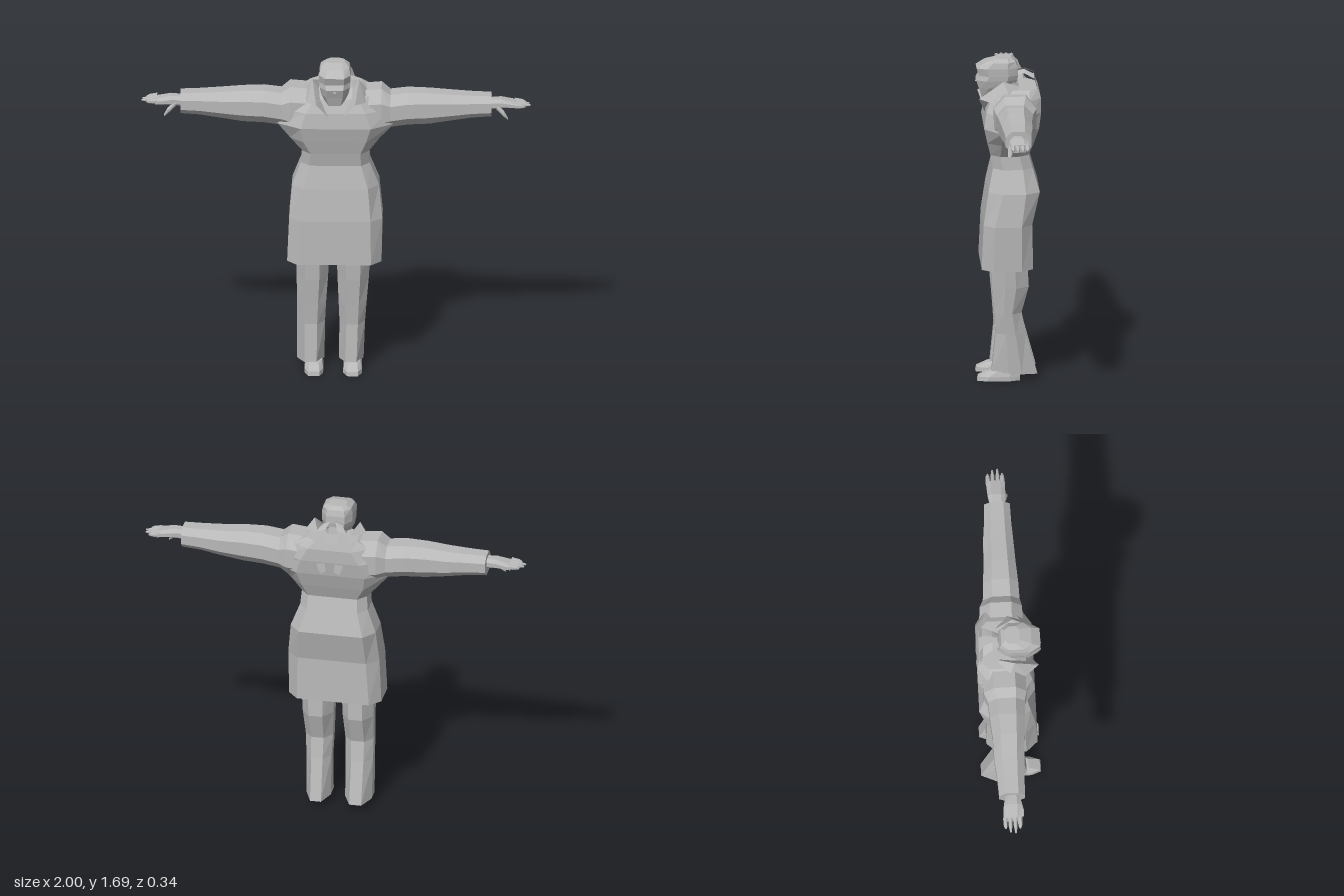
import * as THREE from 'three';

const grey = new THREE.MeshStandardMaterial({ color: 0xb8b8b8 });
grey.name = 'plain grey';
grey.flatShading = true;
grey.side = THREE.DoubleSide;

// Chamfered eight-sided cross-section in unit coordinates
const octagon = (k, m) => [[-k, 1], [k, 1], [1, m], [1, -m], [k, -1], [-k, -1], [-1, -m], [-1, m]];

// Horizontal ring: height, x range, z range
const ringY = (y, x0, x1, z0, z1, k = 0.6, m = 0.5, tilt = 0) => octagon(k, m).map(([u, v]) =>
  [(x0 + x1) / 2 + u * (x1 - x0) / 2, y + tilt * v, (z0 + z1) / 2 + v * (z1 - z0) / 2]);

// Upright ring across an arm: x, y range, z range
const ringX = (x, y0, y1, z0, z1, k = 0.5, m = 0.45) => octagon(k, m).map(([u, v]) =>
  [x, (y0 + y1) / 2 + v * (y1 - y0) / 2, (z0 + z1) / 2 + u * (z1 - z0) / 2]);

function meshFrom(name, points) {
  const g = new THREE.BufferGeometry();
  g.setAttribute('position', new THREE.Float32BufferAttribute(points.flat(), 3));
  g.computeVertexNormals();
  const mesh = new THREE.Mesh(g, grey);
  mesh.name = name;
  return mesh;
}

// Skin a run of rings and close both ends
function loft(name, rings) {
  const tri = [];
  const n = rings[0].length;
  const centre = (r) => [0, 1, 2].map((i) => r.reduce((s, p) => s + p[i], 0) / n);
  const first = rings[0], last = rings[rings.length - 1];
  const c0 = centre(first), c1 = centre(last);
  for (let j = 0; j < n; j++) {
    const k = (j + 1) % n;
    for (let i = 0; i < rings.length - 1; i++) {
      const a = rings[i], b = rings[i + 1];
      tri.push(a[j], a[k], b[k], a[j], b[k], b[j]);
    }
    tri.push(c0, first[k], first[j], c1, last[j], last[k]);
  }
  return meshFrom(name, tri);
}

// Loft along x for one side of the body; the other side is mirrored
function sideLoft(name, side, sections, dy = 0) {
  const rings = sections.map(([x, y0, y1, z0, z1]) => ringX(side * x, y0 + dy, y1 + dy, z0, z1));
  return loft(name, side > 0 ? rings : rings.reverse());
}

// Flat panel fanned from its first corner
function panel(name, side, corners) {
  const p = corners.map(([x, y, z]) => [x * side, y, z]);
  const tri = [];
  for (let i = 1; i < p.length - 1; i++) {
    tri.push(p[0], ...(side > 0 ? [p[i], p[i + 1]] : [p[i + 1], p[i]]));
  }
  return meshFrom(name, tri);
}

export function createModel() {
  const model = new THREE.Group();
  model.name = 'figure';

  // Long coat, hem to shoulders
  model.add(loft('coat', [
    ringY(0.605, -0.25, 0.235, -0.12, 0.145, 0.78, 0.55),
    ringY(0.84, -0.24, 0.24, -0.115, 0.135, 0.75, 0.55),
    ringY(1.01, -0.225, 0.222, -0.155, 0.11, 0.75, 0.45),
    ringY(1.13, -0.18, 0.175, -0.12, 0.085, 0.75, 0.5),
    ringY(1.2, -0.172, 0.17, -0.1, 0.098, 0.75, 0.5),
    ringY(1.27, -0.235, 0.225, -0.125, 0.115, 0.7, 0.4),
    ringY(1.35, -0.3, 0.3, -0.15, 0.132, 0.6, 0.4),
    ringY(1.43, -0.28, 0.28, -0.162, 0.12, 0.55, 0.45),
    ringY(1.5, -0.2, 0.21, -0.162, 0.09, 0.55, 0.5),
    ringY(1.54, -0.13, 0.13, -0.15, 0.03, 0.6, 0.5),
  ]));

  // Neck and head
  model.add(loft('neck', [
    ringY(1.45, -0.065, 0.06, -0.07, 0.07),
    ringY(1.58, -0.055, 0.05, -0.045, 0.08),
  ]));
  model.add(loft('head', [
    ringY(1.505, -0.055, 0.045, 0.03, 0.137, 0.6, 0.4, -0.025),
    ringY(1.54, -0.075, 0.065, -0.03, 0.152, 0.6, 0.5, -0.01),
    ringY(1.575, -0.082, 0.074, -0.045, 0.168, 0.55, 0.5),
    ringY(1.6, -0.085, 0.076, -0.048, 0.152, 0.6, 0.5),
    ringY(1.64, -0.085, 0.077, -0.046, 0.166, 0.6, 0.5),
    ringY(1.67, -0.078, 0.07, -0.036, 0.12, 0.6, 0.5),
    ringY(1.688, -0.05, 0.045, -0.015, 0.06, 0.6, 0.5),
  ]));

  // Front strip at the brow and a small nose wedge
  model.add(panel('nose', 1, [[-0.004, 1.6, 0.153], [-0.016, 1.565, 0.163], [-0.004, 1.56, 0.172], [0.008, 1.565, 0.163]]));

  for (const side of [1, -1]) {
    const label = side > 0 ? 'left' : 'right';
    const dy = side > 0 ? 0 : 0.008;

    // Sleeve from shoulder to cuff
    model.add(sideLoft(label + 'Sleeve', side, [
      [0.14, 1.3, 1.525, -0.14, 0.085],
      [0.235, 1.3, 1.535, -0.135, 0.085],
      [0.28, 1.325, 1.5, -0.115, 0.075],
      [0.37, 1.338, 1.512, -0.11, 0.072],
      [0.48, 1.342, 1.51, -0.1, 0.064],
      [0.6, 1.36, 1.5, -0.098, 0.058],
      [0.7, 1.375, 1.495, -0.088, 0.052],
      [0.8, 1.382, 1.492, -0.083, 0.05],
    ], dy));

    // Hand with four fingers and a thumb
    const hand = new THREE.Group();
    hand.name = label + 'Hand';
    hand.add(sideLoft('palm', side, [
      [0.79, 1.415, 1.47, -0.05, 0.025],
      [0.85, 1.423, 1.472, -0.062, 0.03],
      [0.93, 1.425, 1.455, -0.068, 0.03],
    ], dy));
    [[0.018, 0.975], [-0.006, 1.0], [-0.032, 0.995], [-0.057, 0.975]].forEach(([z, tip], i) => {
      hand.add(sideLoft('finger' + (i + 1), side, [
        [0.92, 1.425, 1.455, z - 0.012, z + 0.012],
        [0.96, 1.428, 1.448, z - 0.01, z + 0.01],
        [tip, 1.432, 1.44, z - 0.004, z + 0.004],
      ], dy * 2));
    });
    hand.add(sideLoft('thumb', side, [
      [0.825, 1.42, 1.45, 0.0, 0.03],
      [0.865, 1.385, 1.415, 0.015, 0.042],
      [0.885, 1.37, 1.38, 0.026, 0.04],
    ], dy));
    model.add(hand);

    // Pointed collar wing and its back flap
    model.add(panel(label + 'Collar', side, [
      [0.065, 1.5, 0.05], [0.035, 1.41, 0.125], [0.1, 1.49, 0.155], [0.12, 1.585, 0.03], [0.085, 1.55, -0.06],
    ]));
    model.add(panel(label + 'CollarOuter', side, [
      [0.12, 1.585, 0.03], [0.1, 1.49, 0.155], [0.15, 1.48, 0.09], [0.17, 1.515, 0.0], [0.085, 1.55, -0.06],
    ]));

    // Curved strand from the back of the head to the upper back
    const inner = [[0.008, 1.615, -0.035], [0.015, 1.627, -0.08], [0.03, 1.605, -0.13], [0.045, 1.52, -0.155], [0.02, 1.38, -0.164]];
    const strand = [];
    inner.forEach(([x, y, z], i) => {
      if (i === inner.length - 1) return;
      const [p, q, r] = inner[i + 1];
      const w = 0.025 + 0.012 * i, w2 = i === 3 ? 0.03 : w + 0.012;
      const a = [side * x, y, z], b = [side * (x + w), y - 0.015, z];
      const c = [side * (p + w2), q - 0.015, r], d = [side * p, q, r];
      strand.push(a, b, c, a, c, d);
    });
    model.add(meshFrom(label + 'BackStrand', strand));

    // Flared trouser leg: height, inner and outer x, back and front z
    const legRows = side > 0
      ? [[0.04, 0.015, 0.142], [0.25, 0.018, 0.15], [0.36, 0.014, 0.158], [0.5, 0.008, 0.17], [0.66, 0.003, 0.178]]
      : [[0.04, -0.2, -0.06], [0.25, -0.2, -0.056], [0.36, -0.2, -0.05], [0.5, -0.202, -0.04], [0.66, -0.203, -0.033]];
    const legDepth = [[-0.145, 0.09], [-0.085, 0.07], [-0.062, 0.078], [-0.1, 0.09], [-0.09, 0.098]];
    model.add(loft(label + 'Leg', legRows.map(([y, x0, x1], i) =>
      ringY(y, x0, x1, ...legDepth[i], 0.45, 0.3, i === 0 ? 0.008 : 0))));

    // Shoe with a low toe
    const cx = side > 0 ? 0.087 : -0.112;
    model.add(loft(label + 'Shoe', [
      ringY(0, cx - 0.048, cx + 0.048, -0.055, 0.165, 0.6, 0.55),
      ringY(0.022, cx - 0.048, cx + 0.048, -0.055, 0.16, 0.6, 0.5),
      ringY(0.05, cx - 0.04, cx + 0.04, -0.055, 0.1, 0.6, 0.5),
    ]));
  }

  return model;
}
